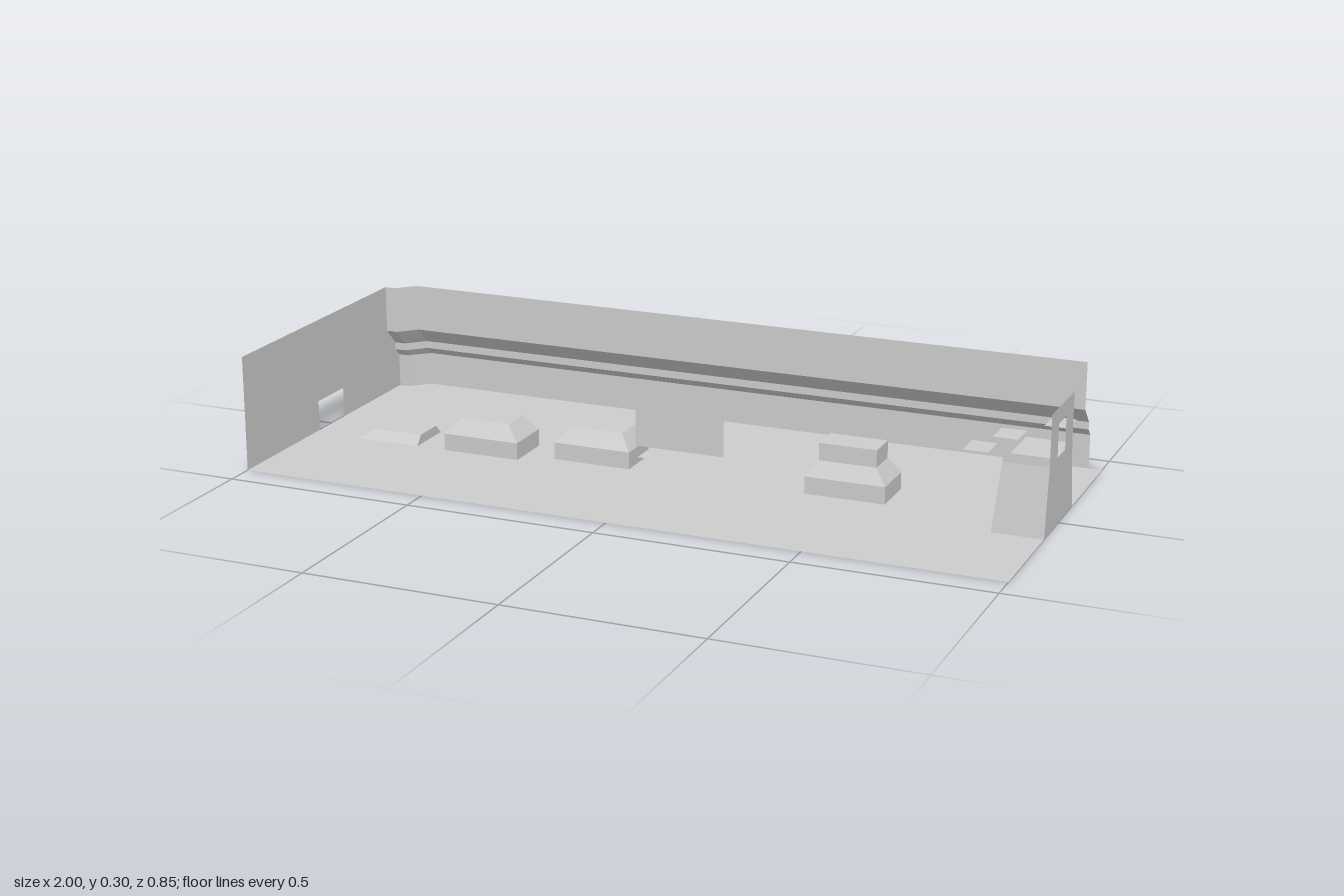
import * as THREE from 'three';

const material = new THREE.MeshStandardMaterial({ color: 0xcccccc, side: THREE.DoubleSide, flatShading: true });

function mesh(name, geometry) {
  const m = new THREE.Mesh(geometry, material);
  m.name = name;
  return m;
}

// Flat-faced surface through rows of points; optionally closed around and capped at the last row
function loft(rows, closed = false, cap = false) {
  const pos = [];
  const tri = (a, b, c) => pos.push(...a, ...b, ...c);
  for (let i = 0; i < rows.length - 1; i++) {
    const n = rows[i].length;
    for (let j = 0; j < (closed ? n : n - 1); j++) {
      const k = (j + 1) % n;
      const a = rows[i][j], b = rows[i][k], c = rows[i + 1][k], d = rows[i + 1][j];
      tri(a, b, c);
      tri(a, c, d);
    }
  }
  if (cap) {
    const last = rows[rows.length - 1];
    for (let j = 1; j < last.length - 1; j++) tri(last[0], last[j], last[j + 1]);
  }
  const g = new THREE.BufferGeometry();
  g.setAttribute('position', new THREE.Float32BufferAttribute(pos, 3));
  g.computeVertexNormals();
  return g;
}

// Stepped block from levels [y, x0, x1, z0, z1], counter-clockwise from above
function steppedBlock(name, levels) {
  const rows = levels.map(([y, x0, x1, z0, z1]) => [[x0, y, z1], [x1, y, z1], [x1, y, z0], [x0, y, z0]]);
  return mesh(name, loft(rows, true, true));
}

// Thin horizontal plate
function plate(name, x0, x1, z0, z1, y) {
  const g = new THREE.PlaneGeometry(x1 - x0, z1 - z0).rotateX(-Math.PI / 2);
  g.translate((x0 + x1) / 2, y, (z0 + z1) / 2);
  return mesh(name, g);
}

function outline(points) {
  return points.map(([x, y]) => new THREE.Vector2(x, y));
}

// Upright panel facing +x, outline given as [z, y]
function sidePanel(name, points, x, hole) {
  const shape = new THREE.Shape(outline(points.map(([z, y]) => [-z, y])));
  if (hole) shape.holes.push(new THREE.Path(outline(hole.map(([z, y]) => [-z, y]))));
  return mesh(name, new THREE.ShapeGeometry(shape).rotateY(Math.PI / 2).translate(x, 0, 0));
}

export function createModel() {
  const model = new THREE.Group();
  model.add(plate('floor', -1, 1, -0.425, 0.425, 0));

  // Back wall: moulded profile [z, y] swept along a path [x, z offset] with a chamfered corner
  const profile = [[-0.425, 0], [-0.425, 0.09], [-0.405, 0.11], [-0.405, 0.13], [-0.36, 0.175], [-0.36, 0.3]];
  const path = [[-1, 0.045], [-0.97, 0.045], [-0.925, 0], [0.965, 0]];
  model.add(mesh('backWall', loft(profile.map(([z, y]) => path.map(([x, dz]) => [x, y, z + dz])))));

  // Left wall, its rear edge following the moulding, with a doorway at the floor
  model.add(sidePanel('leftWall', [
    ...profile.map(([z, y]) => [z + 0.045, y]),
    [0.425, 0.3], [0.425, 0], [0.065, 0], [0.065, 0.08], [-0.065, 0.08], [-0.065, 0],
  ], -1));

  // Low blocks on the floor
  model.add(
    steppedBlock('lowBlock', [[0, -0.87, -0.695, -0.045, 0.085], [0.025, -0.835, -0.695, -0.02, 0.065]]),
    steppedBlock('bevelledBlock', [
      [0, -0.615, -0.405, -0.045, 0.085], [0.045, -0.615, -0.405, -0.045, 0.085], [0.085, -0.575, -0.44, -0.02, 0.06]]),
    steppedBlock('middleBlock', [
      [0, -0.32, -0.11, -0.085, 0.04], [0.045, -0.32, -0.11, -0.085, 0.04], [0.085, -0.28, -0.14, -0.065, 0.015]]),
    steppedBlock('tallBlock', [
      [0, 0.365, 0.575, -0.085, 0.04], [0.045, 0.365, 0.575, -0.085, 0.04],
      [0.085, 0.395, 0.545, -0.065, 0.02], [0.13, 0.395, 0.545, -0.065, 0.02]]),
  );

  // Floating plates
  const plates = [
    [-0.075, 0.07, -0.02, 0.065, 0.045],
    [0.01, 0.16, 0.065, 0.145, 0.09],
    [0.225, 0.37, 0.065, 0.145, 0.09],
    [0.735, 0.8, -0.15, -0.07, 0.13],
    [0.775, 0.84, -0.275, -0.195, 0.13],
    [0.905, 0.965, -0.275, -0.195, 0.175],
  ];
  plates.forEach((p, i) => model.add(plate(`floatingPlate${i + 1}`, ...p)));

  // Floating upright screen
  model.add(mesh('uprightScreen', new THREE.PlaneGeometry(0.235, 0.105).translate(0.083, 0.165, 0.168)));

  // Gate tower on the right edge
  const tower = new THREE.Group();
  tower.name = 'tower';
  tower.add(sidePanel('towerPanel',
    [[-0.127, 0], [-0.102, 0.172], [-0.102, 0.302], [0.102, 0.302], [0.102, 0.172], [0.127, 0]], 1,
    [[-0.034, 0.175], [-0.034, 0.26], [0.034, 0.26], [0.034, 0.175]]));
  // Flared body, open towards the panel
  const section = (y, x, z) => [[1, y, z], [1, y, -z], [x, y, -z], [x, y, z]];
  const ring = [section(0, 0.87, 0.127), section(0.172, 0.885, 0.102)];
  tower.add(mesh('towerBody', loft(ring.map(([a, b, c, d]) => [b, c, d, a]))));
  tower.add(plate('towerDeck', 0.885, 1, -0.102, 0.102, 0.172));
  // Parapets: plain at the front, notched at the back
  const parapet = (name, x0, x1, z) => mesh(name,
    new THREE.PlaneGeometry(x1 - x0, 0.023).translate((x0 + x1) / 2, 0.1835, z));
  tower.add(
    parapet('frontParapet', 0.885, 1, 0.102),
    parapet('backParapetInner', 0.885, 0.92, -0.102),
    parapet('backParapetOuter', 0.965, 1, -0.102),
  );
  model.add(tower);
  return model;
}
